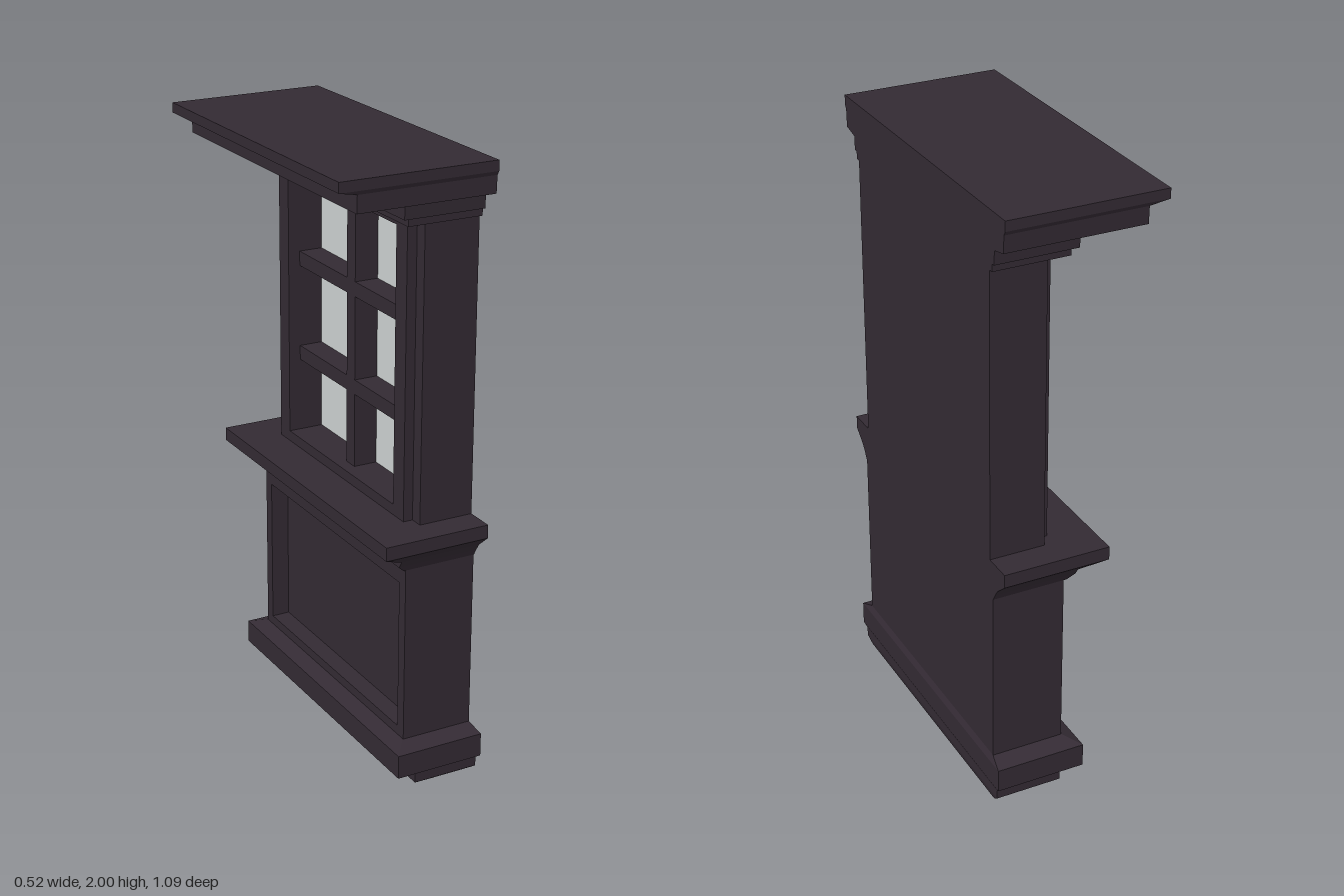
import * as THREE from 'three';

const wood = new THREE.MeshStandardMaterial({ color: 0x332a33 });
wood.name = 'dark wood';
const glass = new THREE.MeshStandardMaterial({ color: 0xcdd2d1 });
glass.name = 'pale grey glass';

const BACK = 0.252;

function add(group, name, geometry, material = wood) {
  const mesh = new THREE.Mesh(geometry, material);
  mesh.name = name;
  group.add(mesh);
}

// Box given by its limits on each axis
function block(x0, x1, y0, y1, z0, z1) {
  return new THREE.BoxGeometry(x1 - x0, y1 - y0, z1 - z0)
    .translate((x0 + x1) / 2, (y0 + y1) / 2, (z0 + z1) / 2);
}

// Moulding: rectangles [y, front x, half depth in z, back x] joined from bottom to top
function moulding(rows) {
  const pos = [];
  const rings = rows.map(([y, f, h, b = BACK]) => [[f, y, h], [b, y, h], [b, y, -h], [f, y, -h]]);
  const quad = (a, b, c, d) => pos.push(...a, ...b, ...c, ...a, ...c, ...d);
  for (let i = 0; i < rings.length - 1; i++) {
    const lo = rings[i], hi = rings[i + 1];
    for (let k = 0; k < 4; k++) {
      const n = (k + 1) % 4;
      quad(lo[k], lo[n], hi[n], hi[k]);
    }
  }
  const top = rings[rings.length - 1], bottom = rings[0];
  quad(top[0], top[1], top[2], top[3]);
  quad(bottom[3], bottom[2], bottom[1], bottom[0]);
  const g = new THREE.BufferGeometry();
  g.setAttribute('position', new THREE.Float32BufferAttribute(pos, 3));
  g.computeVertexNormals();
  return g;
}

// Rectangular frame with an opening, facing -x
function frame(x0, x1, h, y0, y1, holeH, holeY0, holeY1) {
  const s = new THREE.Shape();
  s.moveTo(-h, y0).lineTo(h, y0).lineTo(h, y1).lineTo(-h, y1).closePath();
  const p = new THREE.Path();
  p.moveTo(-holeH, holeY0).lineTo(-holeH, holeY1).lineTo(holeH, holeY1).lineTo(holeH, holeY0).closePath();
  s.holes.push(p);
  return new THREE.ExtrudeGeometry(s, { depth: x1 - x0, bevelEnabled: false })
    .rotateY(-Math.PI / 2).translate(x1, 0, 0);
}

export function createModel() {
  const model = new THREE.Group();
  model.name = 'windowBay';

  // Stepped plinth
  add(model, 'plinth', moulding([
    [0, 0.11, 0.475, 0.252], [0.022, 0.035, 0.505, 0.257], [0.053, 0.035, 0.505, 0.257],
    [0.067, -0.037, 0.525, 0.262], [0.145, -0.037, 0.525, 0.262], [0.165, 0.01, 0.468],
  ]));

  // Lower wall with one deep recessed panel
  add(model, 'lowerWall', block(0.073, BACK, 0.16, 0.76, -0.468, 0.468));
  add(model, 'lowerFrame', frame(0.012, 0.073, 0.468, 0.16, 0.76, 0.43, 0.195, 0.69));

  // Sill slab with moulding below
  add(model, 'sill', moulding([
    [0.747, 0.003, 0.47], [0.768, -0.02, 0.482], [0.792, -0.02, 0.498],
    [0.832, -0.1, 0.545], [0.876, -0.1, 0.545],
  ]));

  // Upper wall with a deep window opening
  add(model, 'upperBackWall', block(0.164, BACK, 0.87, 1.84, -0.449, 0.449));
  add(model, 'upperWall', frame(0.07, 0.164, 0.449, 0.87, 1.84, 0.342, 0.91, 1.79));
  add(model, 'windowFrame', frame(0.038, 0.07, 0.405, 0.87, 1.84, 0.342, 0.91, 1.79));
  add(model, 'windowGlass', block(0.157, 0.164, 0.91, 1.79, -0.342, 0.342), glass);

  // Glazing bars: two columns, three rows
  add(model, 'verticalBar', block(0.078, 0.158, 0.91, 1.79, -0.026, 0.026));
  for (const y of [1.178, 1.498]) {
    add(model, 'horizontalBar', block(0.078, 0.158, y - 0.024, y + 0.024, -0.342, 0.342));
  }

  // Stepped cornice
  add(model, 'cornice', moulding([
    [1.818, 0.005, 0.465], [1.842, 0.005, 0.465],
    [1.843, -0.015, 0.478], [1.888, -0.015, 0.48],
    [1.9, -0.2, 0.535], [1.955, -0.2, 0.537],
    [1.968, -0.262, 0.545], [2.0, -0.262, 0.545],
  ]));

  return model;
}
